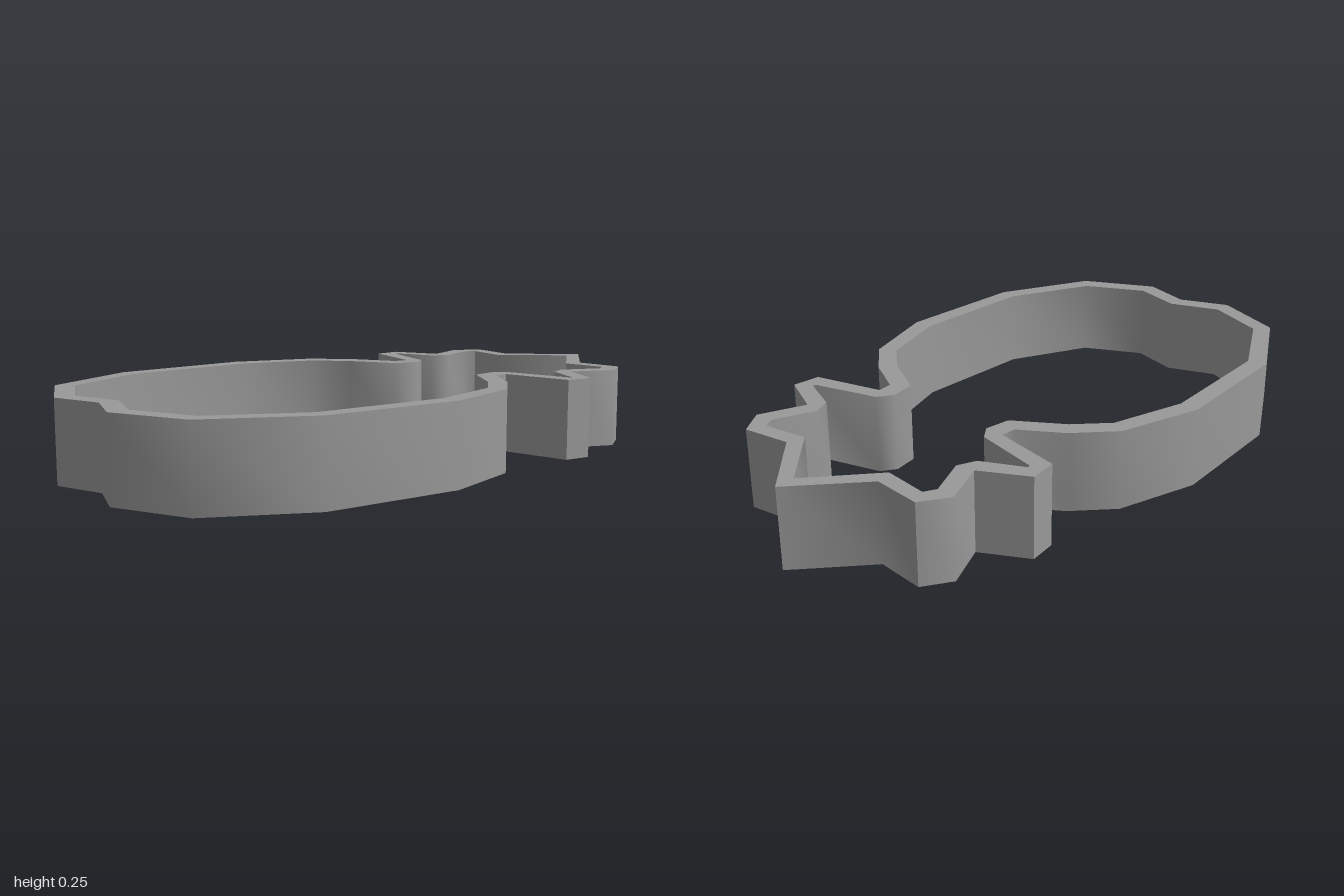
import * as THREE from 'three';
import { toCreasedNormals } from 'three/addons/utils/BufferGeometryUtils.js';

const HEIGHT = 0.255;

// Half outlines as [x, z], from the crown tip round to the base notch
const OUTER = [
  [0, -1], [0.185, -0.805], [0.34, -0.825], [0.397, -0.74], [0.337, -0.595],
  [0.485, -0.52], [0.475, -0.43], [0.25, -0.378], [0.255, -0.328], [0.387, -0.25],
  [0.5, -0.137], [0.585, 0.13], [0.562, 0.577], [0.405, 0.885], [0.165, 0.995], [0, 0.937],
];
const INNER = [
  [0, -0.937], [0.17, -0.75], [0.315, -0.772], [0.335, -0.735], [0.28, -0.605],
  [0.305, -0.547], [0.437, -0.487], [0.433, -0.477], [0.22, -0.422], [0.187, -0.375],
  [0.2, -0.292], [0.353, -0.2], [0.448, -0.107], [0.522, 0.135], [0.503, 0.565],
  [0.365, 0.838], [0.165, 0.93], [0, 0.875],
];

// Mirror a half outline about x = 0 into a closed loop
function mirroredLoop(half) {
  const left = half.slice(1, -1).reverse().map(([x, z]) => [-x, z]);
  return [...half, ...left].map(([x, z]) => new THREE.Vector2(x, z));
}

export function createModel() {
  const model = new THREE.Group();
  model.name = 'pineappleCutter';

  const grey = new THREE.MeshStandardMaterial({ color: 0x999999 });
  grey.name = 'grey';

  // Thin wall following the fruit and its leafy crown
  const shape = new THREE.Shape(mirroredLoop(OUTER));
  shape.holes.push(new THREE.Path(mirroredLoop(INNER)));
  const extruded = new THREE.ExtrudeGeometry(shape, { depth: HEIGHT, bevelEnabled: false });
  extruded.rotateX(Math.PI / 2);
  extruded.translate(0, HEIGHT, 0);

  // Soft shading along the body, sharp rims and leaf tips
  const wall = new THREE.Mesh(toCreasedNormals(extruded, Math.PI / 3), grey);
  wall.name = 'cutterWall';
  model.add(wall);

  return model;
}
